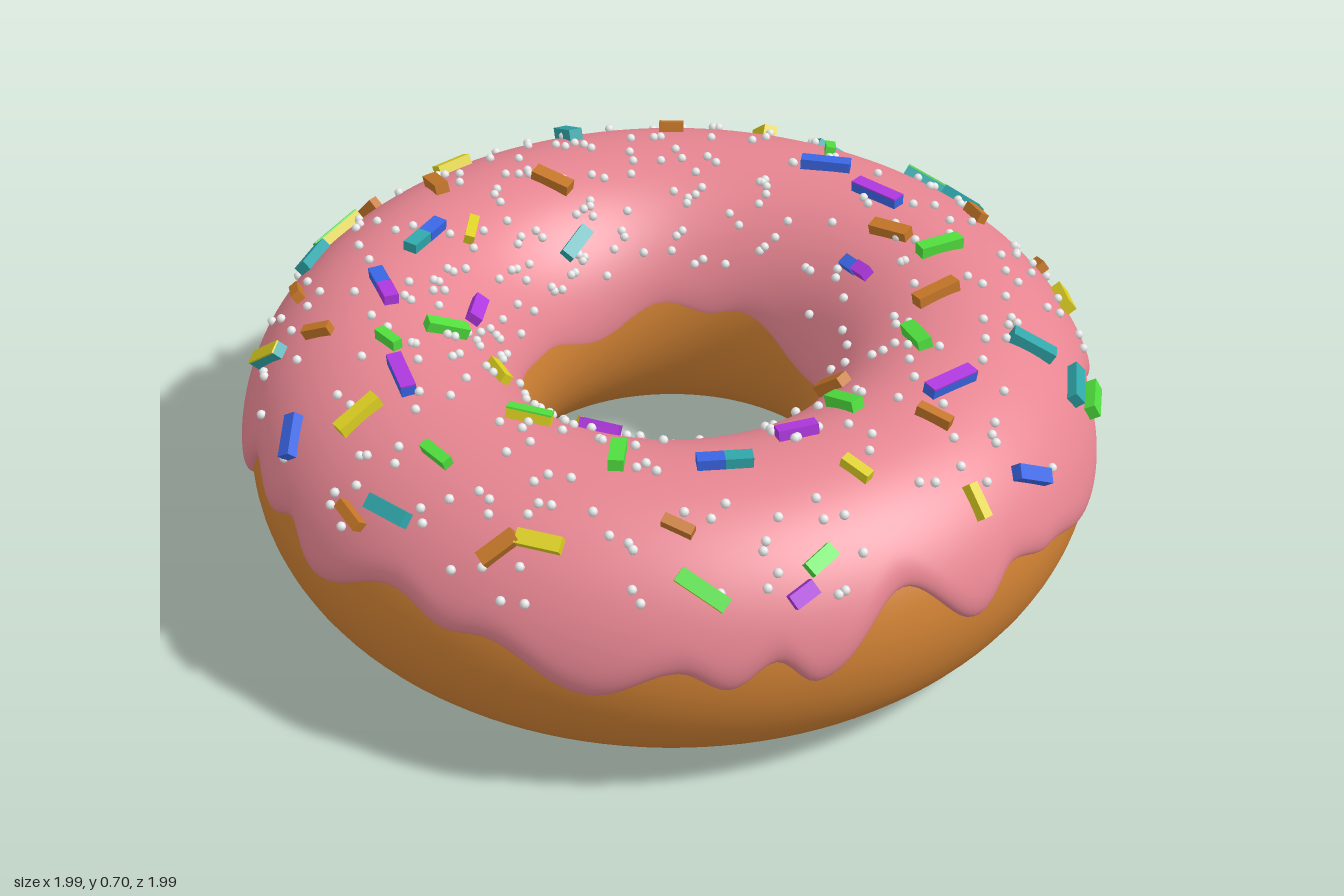
import * as THREE from 'three';
import { mergeGeometries } from 'three/addons/utils/BufferGeometryUtils.js';

const R = 0.655, TUBE = 0.325, CY = 0.327, ICING = 0.022;
const rad = THREE.MathUtils.degToRad;

const material = (name, color) => {
  const m = new THREE.MeshStandardMaterial({ color });
  m.name = name;
  return m;
};

// Icing hem: alternating crests and drips as [degrees around from the front, height]
const OUTER_HEM = [
  [-84, .31], [-61, .42], [-40, .29], [-31, .305], [-24, .42], [-16, .38], [-10, .42], [-3, .35],
  [11.5, .44], [20, .4], [25, .41], [39, .32], [50, .385], [56, .34], [62, .395], [67, .33],
  [80, .48], [91, .34], [98, .41], [106, .37], [119, .31], [136, .46], [146, .38], [152, .45],
  [168, .31], [190, .28], [202, .41], [215, .33], [231, .47], [241, .4], [250, .42], [264, .3],
];
const INNER_HEM = [
  [-70, .4], [-35, .43], [-10, .35], [35, .46], [85, .34], [125, .42], [165, .36],
  [200, .42], [215, .4], [232, .42], [262, .35],
];

// Smooth wave through the hem points, periodic around the ring
function hemHeight(points, deg) {
  const start = points[0][0];
  const d = start + ((((deg - start) % 360) + 360) % 360);
  for (let i = 0; i < points.length; i++) {
    const [a, ha] = points[i];
    const [b, hb] = i + 1 < points.length ? points[i + 1] : [start + 360, points[0][1]];
    if (d <= b) return ha + (hb - ha) * (0.5 - 0.5 * Math.cos(Math.PI * (d - a) / (b - a)));
  }
  return points[0][1];
}

// Point on the ring: theta around, phi around the tube, lifted off the dough
function ringPoint(theta, phi, lift = 0) {
  const rho = R + (TUBE + lift) * Math.cos(phi);
  return new THREE.Vector3(
    rho * Math.sin(theta), CY + (TUBE + lift) * Math.sin(phi), rho * Math.cos(theta));
}
const ringNormal = (theta, phi) => new THREE.Vector3(
  Math.cos(phi) * Math.sin(theta), Math.sin(phi), Math.cos(phi) * Math.cos(theta));

// Icing thickness thins out towards the hole
const thickness = (phi) => ICING * (1 - 0.8 * Math.max(0, -Math.cos(phi)) ** 2);

// Surface swept around the ring; closed sections wrap onto themselves
function ringSurface(nu, nv, closed, fn) {
  const rows = closed ? nv : nv + 1;
  const pos = [], index = [];
  for (let i = 0; i < nu; i++) {
    for (let j = 0; j < rows; j++) pos.push(...fn((i / nu) * Math.PI * 2, j / nv).toArray());
  }
  for (let i = 0; i < nu; i++) {
    for (let j = 0; j < nv; j++) {
      const i2 = (i + 1) % nu, j2 = (j + 1) % rows;
      const a = i * rows + j, b = i2 * rows + j, c = i2 * rows + j2, d = i * rows + j2;
      index.push(a, b, c, a, c, d);
    }
  }
  const g = new THREE.BufferGeometry();
  g.setAttribute('position', new THREE.Float32BufferAttribute(pos, 3));
  g.setIndex(index);
  g.computeVertexNormals();
  return g;
}

// Icing section: from outer hem over the top to inner hem, rounded at both rims
function icingPoint(theta, v) {
  const deg = THREE.MathUtils.radToDeg(theta);
  const tilt = (h) => Math.asin((h - CY) / TUBE);
  const from = tilt(hemHeight(OUTER_HEM, deg));
  const to = Math.PI - tilt(hemHeight(INNER_HEM, deg));
  const phi = from + (to - from) * (0.5 - 0.5 * Math.cos(Math.PI * v));
  const edge = Math.min(1, Math.min(phi - from, to - phi) / 0.22);
  const lift = -0.003 + (thickness(phi) + 0.003) * Math.sqrt(Math.max(0, 1 - (1 - edge) ** 2));
  return ringPoint(theta, phi, lift);
}

// Bars lying on the icing: each is [x, z, angle seen from above, length, width]
function sprinkleBars(list, height = 0.028, lift = 0.01) {
  return mergeGeometries(list.map(([x, z, deg, len, width = len > 0.08 ? 0.034 : 0.024]) => {
    const theta = Math.atan2(x, z);
    const cos = THREE.MathUtils.clamp((Math.hypot(x, z) - R) / (TUBE + ICING), -0.98, 0.98);
    const phi = Math.acos(cos);
    const n = ringNormal(theta, phi);
    const along = new THREE.Vector3(Math.cos(rad(deg)), 0, -Math.sin(rad(deg)));
    along.addScaledVector(n, -along.dot(n)).normalize();
    const side = new THREE.Vector3().crossVectors(along, n);
    const g = new THREE.BoxGeometry(len, height, width);
    return g.applyMatrix4(new THREE.Matrix4().makeBasis(along, n, side)
      .setPosition(ringPoint(theta, phi, thickness(phi) + lift)));
  }));
}

// Tiny pearls scattered evenly over the icing
function pearls(count) {
  let seed = 7;
  const rnd = () => (seed = (seed * 16807) % 2147483647) / 2147483647;
  const list = [];
  for (let i = 0; i < count; i++) {
    const theta = rnd() * Math.PI * 2, phi = rad(31 + 119 * rnd());
    const p = ringPoint(theta, phi, thickness(phi) + 0.005);
    list.push(new THREE.SphereGeometry(0.011, 8, 6).translate(p.x, p.y, p.z));
  }
  return mergeGeometries(list);
}

export function createModel() {
  const model = new THREE.Group();
  model.name = 'donut';
  const add = (name, geometry, mat) => {
    const mesh = new THREE.Mesh(geometry, mat);
    mesh.name = name;
    model.add(mesh);
  };
  // Two-tone sprinkles: a body in the side colour under a thin cap in the top colour
  const addCapped = (name, top, sides, list) => {
    add(name + 'Body', sprinkleBars(list, 0.026, 0.009), sides);
    add(name + 'Cap', sprinkleBars(list, 0.004, 0.024), top);
  };

  add('dough', ringSurface(128, 64, true, (t, v) => ringPoint(t, v * Math.PI * 2)),
    material('dough brown', 0xce8033));
  add('icing', ringSurface(360, 56, false, icingPoint), material('icing pink', 0xe68591));

  const green = material('sprinkle green', 0x50de3e);
  const yellow = material('sprinkle yellow', 0xdccf22);
  const purple = material('sprinkle purple', 0xae38de);
  const blue = material('sprinkle blue', 0x3a66e4);
  const teal = material('sprinkle teal', 0x30a6aa);
  const orange = material('sprinkle orange', 0xc47628);

  add('greenSprinkles', sprinkleBars([
    [.26, -.6, 75, .11], [.48, -.31, -20, .1], [-.9, -.36, 65, .11], [-.26, .45, 65, .1],
    [.39, .49, -45, .09], [.55, -.02, 0, .09], [.835, .32, -75, .07, .034],
    [.12, .76, 0, .08], [-.27, .6, 0, .07], [-.24, -.72, -45, .06], [.74, -.61, -45, .1],
  ]), green);
  addCapped('greenYellowSprinkles', green, yellow, [
    [-.84, .33, 70, .13], [.14, .53, 40, .1], [.73, .55, 5, .12],
  ]);
  addCapped('greenTealSprinkles', green, teal, [[-.09, -.91, 40, .12]]);
  add('yellowSprinkles', sprinkleBars([
    [-.5, -.74, -35, .1], [.46, -.81, -40, .09], [-.82, 0, 85, .09], [.9, -.07, 0, .08],
    [-.53, .17, -45, .08], [-.11, .42, -15, .08], [-.12, .79, 85, .11],
    [.44, .74, 30, .1], [.74, .13, 10, .07], [.17, .38, 70, .07],
  ]), yellow);
  addCapped('yellowTealSprinkles', yellow, teal, [[-.54, .74, 30, .11]]);
  add('purpleSprinkles', sprinkleBars([
    [.57, .14, 65, .09], [.21, .39, 35, .09], [-.32, .32, -50, .09],
    [-.42, .492, -20, .065, .034], [.852, .383, -75, .06, .034],
  ]), purple);
  addCapped('purpleBlueSprinkles', purple, blue, [
    [0, -.65, 8, .13], [.66, -.23, 88, .13], [-.14, .66, -22, .13],
  ]);
  // Bars of two colours end to end are split between the lists as short halves
  add('blueSprinkles', sprinkleBars([
    [-.18, -.65, 40, .12], [-.48, .47, -20, .065, .034], [.89, -.25, 55, .1],
    [-.25, .88, -70, .1], [-.572, .25, -70, .065, .034],
    [.538, .358, 55, .06, .034], [.12, -.453, -5, .045, .03],
  ]), blue);
  add('shortPurpleSprinkle', sprinkleBars([[.163, -.449, -5, .045, .03]]), purple);
  add('tealSprinkles', sprinkleBars([
    [-.37, -.86, 85, .12], [.02, -.92, 5, .11], [-.74, -.3, -15, .1], [-.42, -.06, -60, .09],
    [.572, .309, 55, .06, .034], [-.79, .44, -60, .11], [.12, .89, 10, .11],
    [.73, -.56, -40, .11], [-.55, .311, -70, .065, .034], [.64, -.51, 40, .11],
  ]), teal);
  add('orangeSprinkles', sprinkleBars([
    [.29, -.91, -60, .06], [.16, -.82, -20, .07], [.39, -.46, 80, .11],
    [-.58, -.5, 45, .06], [-.57, -.11, 20, .1], [.41, -.12, 10, .09], [.72, -.12, 20, .08],
    [-.74, .11, -15, .09], [-.9, .2, 15, .08], [.38, .8, 85, .09], [.62, .52, 20, .07],
    [-.65, .58, -20, .07], [-.44, .67, 35, .07], [.04, .93, -20, .08], [.13, -.57, 15, .1],
  ]), orange);

  add('pearls', pearls(390), material('pearl white', 0xe6e6e6));
  return model;
}
